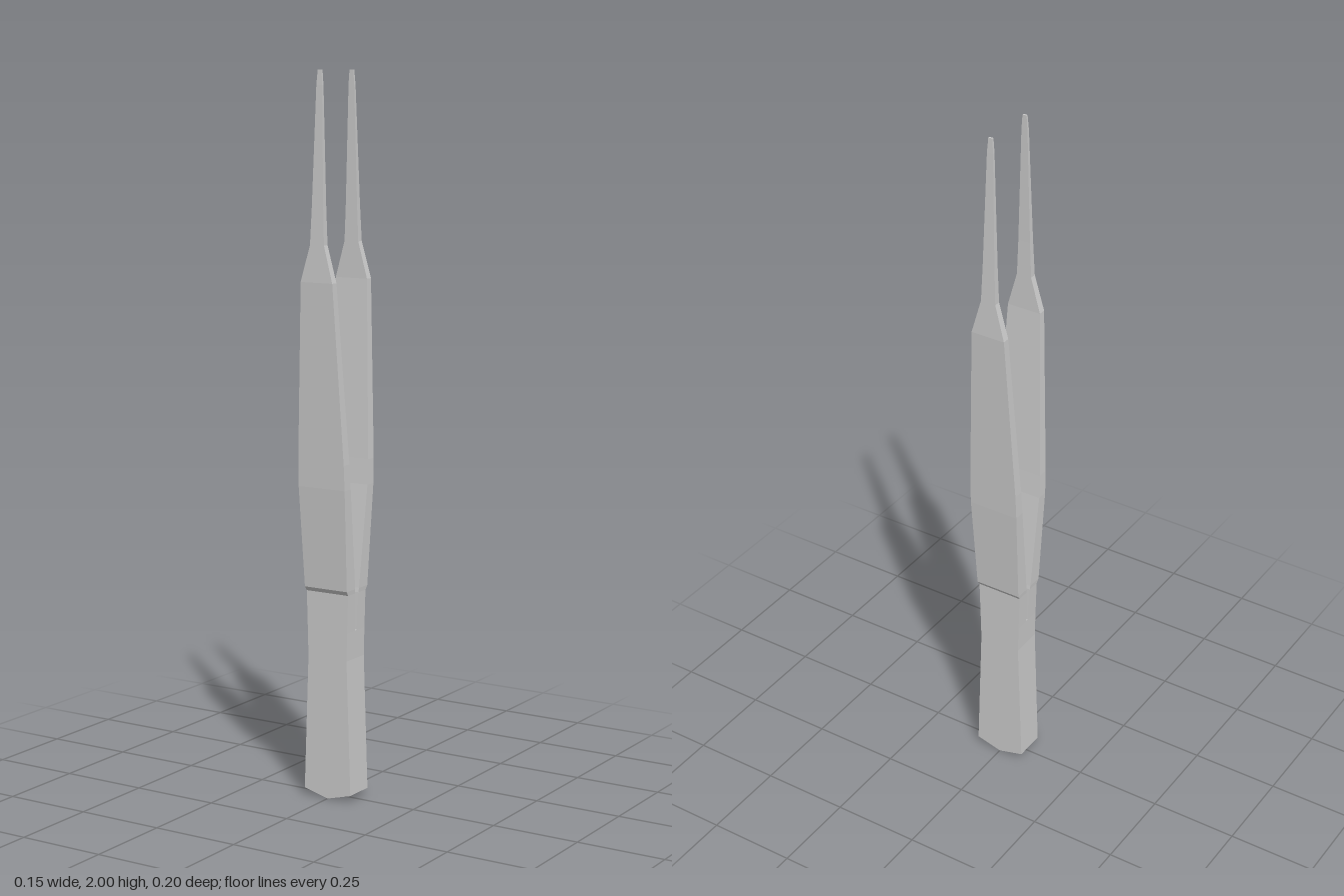
import * as THREE from 'three';

const material = new THREE.MeshStandardMaterial({ color: 0xcccccc, flatShading: true });

// Loft of rectangular sections: [y, half width, inner z, outer z]
function loft(sections) {
  const positions = [], index = [];
  for (const [y, w, inner, outer] of sections) {
    positions.push(-w, y, outer, w, y, outer, w, y, inner, -w, y, inner);
  }
  for (let i = 0; i < sections.length - 1; i++) {
    for (let j = 0; j < 4; j++) {
      const a = i * 4 + j, b = i * 4 + (j + 1) % 4;
      index.push(a, b, b + 4, a, b + 4, a + 4);
    }
  }
  const t = (sections.length - 1) * 4;
  index.push(0, 2, 1, 0, 3, 2, t, t + 1, t + 2, t, t + 2, t + 3);
  const geometry = new THREE.BufferGeometry();
  geometry.setAttribute('position', new THREE.Float32BufferAttribute(positions, 3));
  geometry.setIndex(index);
  const flat = geometry.toNonIndexed();
  flat.computeVertexNormals();
  return flat;
}

export function createModel() {
  const group = new THREE.Group();
  group.name = 'tweezers';

  // Solid joined base with a shallow pointed end
  const outline = new THREE.Shape([
    [0, 0], [0.075, 0.02], [0.062, 0.4], [0.064, 0.48],
    [-0.064, 0.48], [-0.062, 0.4], [-0.075, 0.02],
  ].map(([x, y]) => new THREE.Vector2(x, y)));
  const baseGeometry = new THREE.ExtrudeGeometry(outline, { depth: 0.09, bevelEnabled: false });
  baseGeometry.translate(0, 0, -0.045);
  const base = new THREE.Mesh(baseGeometry, material);
  base.name = 'base';
  group.add(base);

  // Bowed arm: slit, grip ledge, broad blade, shoulder and fine tip
  const armGeometry = loft([
    [0.48, 0.064, 0.004, 0.045],
    [0.585, 0.067, 0.008, 0.045],
    [0.597, 0.068, 0.01, 0.053],
    [0.88, 0.074, 0.043, 0.074],
    [0.95, 0.073, 0.048, 0.077],
    [1.44, 0.05, 0.077, 0.098],
    [1.54, 0.022, 0.077, 0.095],
    [1.64, 0.018, 0.077, 0.092],
    [1.96, 0.009, 0.076, 0.083],
    [2.0, 0.006, 0.076, 0.081],
  ]);
  ['frontArm', 'backArm'].forEach((name, i) => {
    const arm = new THREE.Mesh(armGeometry, material);
    arm.name = name;
    arm.rotation.y = i * Math.PI;
    group.add(arm);
  });
  return group;
}
